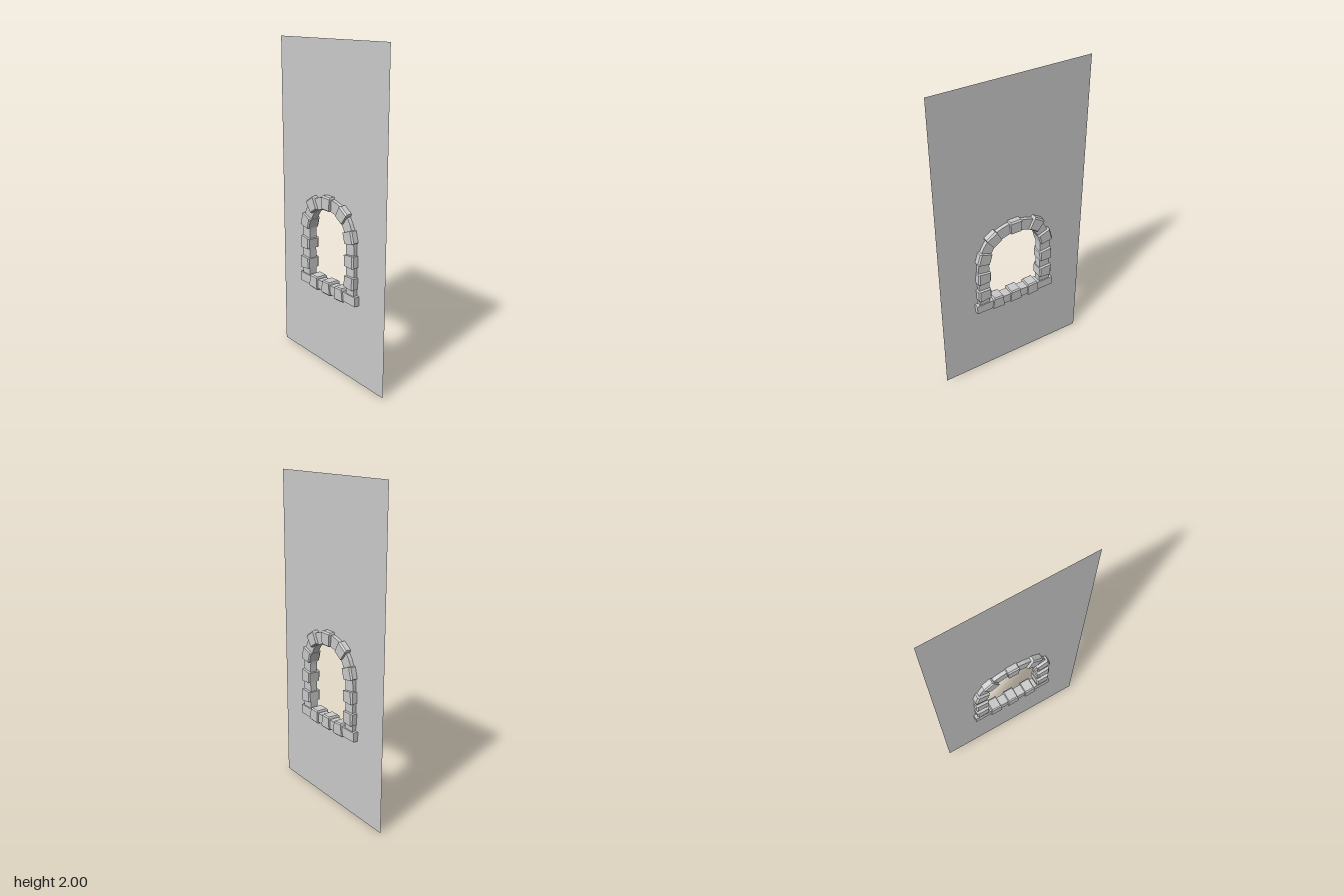
import * as THREE from 'three';

const material = new THREE.MeshStandardMaterial({ color: 0xcccccc, flatShading: true });
const wallMaterial = new THREE.MeshStandardMaterial({ color: 0xcccccc, side: THREE.DoubleSide });

function add(parent, name, geometry, mat = material) {
  const mesh = new THREE.Mesh(geometry, mat);
  mesh.name = name;
  parent.add(mesh);
  return mesh;
}

// Tapered block, wide towards +y, with chamfered inner and outer faces
function stoneGeometry() {
  const rows = [ // height, half width, half depth
    [-0.043, 0.030, 0.033],
    [-0.036, 0.033, 0.041],
    [0.034, 0.039, 0.041],
    [0.043, 0.035, 0.032],
  ];
  const geometry = new THREE.BoxGeometry(2, 3, 2, 1, 3, 1);
  const p = geometry.attributes.position;
  for (let i = 0; i < p.count; i++) {
    const [h, w, d] = rows[Math.round(p.getY(i) + 1.5)];
    p.setXYZ(i, p.getX(i) * w, h, p.getZ(i) * d);
  }
  geometry.computeVertexNormals();
  return geometry;
}

// Centre line of the arch from one foot to the other
function archCurve() {
  const half = [[0.217, 0.53], [0.217, 0.65], [0.217, 0.77], [0.207, 0.905], [0.14, 1.012]];
  const points = [...half, [0, 1.054], ...half.map(([x, y]) => [-x, y]).reverse()];
  return new THREE.SplineCurve(points.map(([x, y]) => new THREE.Vector2(x, y)));
}

// Points along the curve, shifted outwards by a distance
function offsetLine(curve, distance, n = 40) {
  return Array.from({ length: n + 1 }, (_, i) => {
    const t = curve.getTangent(i / n);
    return curve.getPoint(i / n).add(new THREE.Vector2(t.y, -t.x).multiplyScalar(distance));
  });
}

export function createModel() {
  const model = new THREE.Group();
  model.name = 'archedWindowWall';

  // Everything is drawn in the x-y plane, then turned to face sideways
  const plane = new THREE.Group();
  plane.name = 'windowAndWall';
  plane.rotation.y = -Math.PI / 2;
  model.add(plane);
  const curve = archCurve();

  // Thin wall with the window opening
  const wall = new THREE.Shape([[-0.5, 0], [0.5, 0], [0.5, 2], [-0.5, 2]]
    .map(([x, y]) => new THREE.Vector2(x, y)));
  wall.holes.push(new THREE.Path(offsetLine(curve, 0)));
  add(plane, 'wall', new THREE.ShapeGeometry(wall), wallMaterial);

  // Narrow band running behind the stones
  const band = new THREE.Shape([...offsetLine(curve, 0.036), ...offsetLine(curve, -0.036).reverse()]);
  const bandGeometry = new THREE.ExtrudeGeometry(band, { depth: 0.048, bevelEnabled: false });
  bandGeometry.translate(0, 0, -0.024);
  add(plane, 'archBand', bandGeometry);

  // Sill bar
  add(plane, 'sill', new THREE.BoxGeometry(0.546, 0.058, 0.062)).position.y = 0.526;

  // Stones: x, y and outward angle in degrees, mirrored when off centre
  const stone = stoneGeometry();
  const placeStone = (name, x, y, angle) => {
    const sides = x === 0 ? [1] : [1, -1];
    for (const side of sides) {
      const mesh = add(plane, name, stone);
      mesh.position.set(x * side, y, 0);
      mesh.rotation.z = side * THREE.MathUtils.degToRad(angle - 90);
    }
  };
  placeStone('keystone', 0, 1.058, 90);
  placeStone('archStone', 0.145, 1.02, 57);
  placeStone('archStone', 0.211, 0.903, 16);
  placeStone('jambStone', 0.218, 0.763, 3);
  placeStone('jambStone', 0.218, 0.632, -2);
  placeStone('sillStone', 0, 0.529, -90);
  placeStone('sillStone', 0.125, 0.529, -87);
  return model;
}
